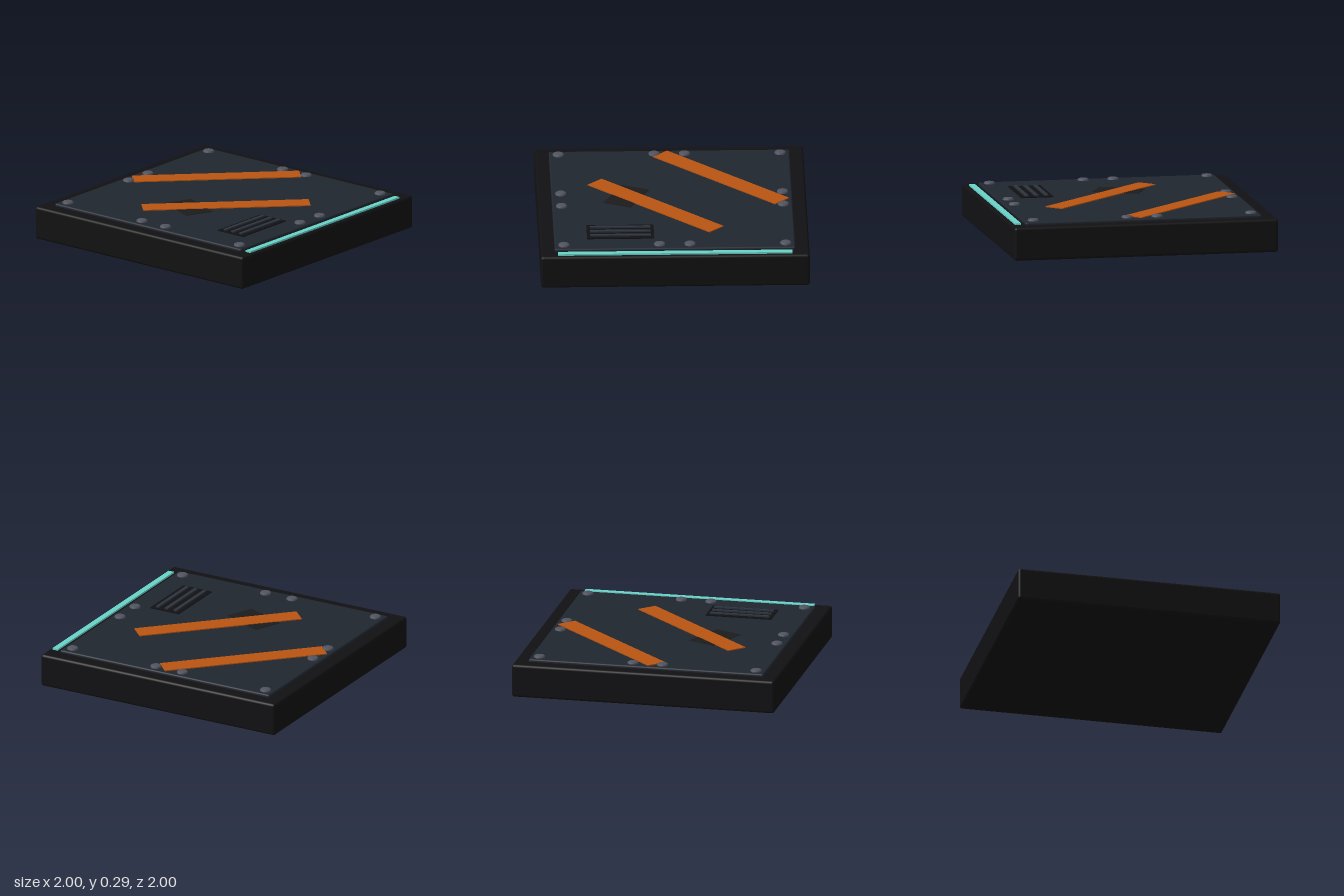
import * as THREE from 'three';
import { RoundedBoxGeometry } from 'three/addons/geometries/RoundedBoxGeometry.js';

const mat = (color) => new THREE.MeshStandardMaterial({ color });

export function createModel() {
  const group = new THREE.Group();
  const black = mat(0x111113), slate = mat(0x20262f), orange = mat(0xb85412);
  const steel = mat(0x50535f), scorch = mat(0x1b1b1d), teal = mat(0x68d2c8), slatGrey = mat(0x2c333e);

  const add = (name, geometry, material, x, y, z, turn = 0) => {
    const mesh = new THREE.Mesh(geometry, material);
    mesh.name = name;
    mesh.position.set(x, y, z);
    mesh.rotation.y = turn;
    group.add(mesh);
    return mesh;
  };
  // Box given by its bottom and top heights
  const slab = (name, material, w, d, y0, y1, x, z, turn) =>
    add(name, new THREE.BoxGeometry(w, y1 - y0, d), material, x, (y0 + y1) / 2, z, turn);

  // Thick floor tile with softened edges, and its raised cover plate
  add('base', new RoundedBoxGeometry(2, 0.25, 2, 3, 0.02), black, 0, 0.125, 0);
  add('coverPlate', new RoundedBoxGeometry(1.79, 0.04, 1.79, 2, 0.012), slate, 0, 0.25, 0);

  // Worn patch under the hazard stripes
  slab('wornPatch', scorch, 0.22, 0.35, 0.265, 0.273, -0.34, -0.06, -0.42);
  for (const [x, z] of [[0.375, -0.38], [-0.125, 0.122]])
    slab('hazardStripe', orange, 1.25, 0.15, 0.265, 0.277, x, z, -Math.PI / 4);

  // Vent with three slats
  slab('ventFrame', black, 0.5, 0.245, 0.26, 0.276, -0.4, 0.595);
  for (const z of [0.52, 0.595, 0.67])
    slab('ventSlat', slatGrey, 0.45, 0.026, 0.265, 0.286, -0.4, z);

  // Glowing strip along the front edge
  slab('lightStrip', teal, 1.745, 0.045, 0.24, 0.263, 0, 0.948);

  // Low domed bolts around the rim of the plate
  const boltProfile = [[0.042, 0], [0.041, 0.012], [0.034, 0.018], [0.018, 0.021], [0, 0.022]]
    .map(([r, y]) => new THREE.Vector2(r, y));
  const boltGeometry = new THREE.LatheGeometry(boltProfile, 16);
  const spots = [-0.825, -0.113, 0.113, 0.825];
  for (const x of spots)
    for (const z of spots)
      if (Math.max(Math.abs(x), Math.abs(z)) > 0.5) add('bolt', boltGeometry, steel, x, 0.267, z);

  return group;
}
